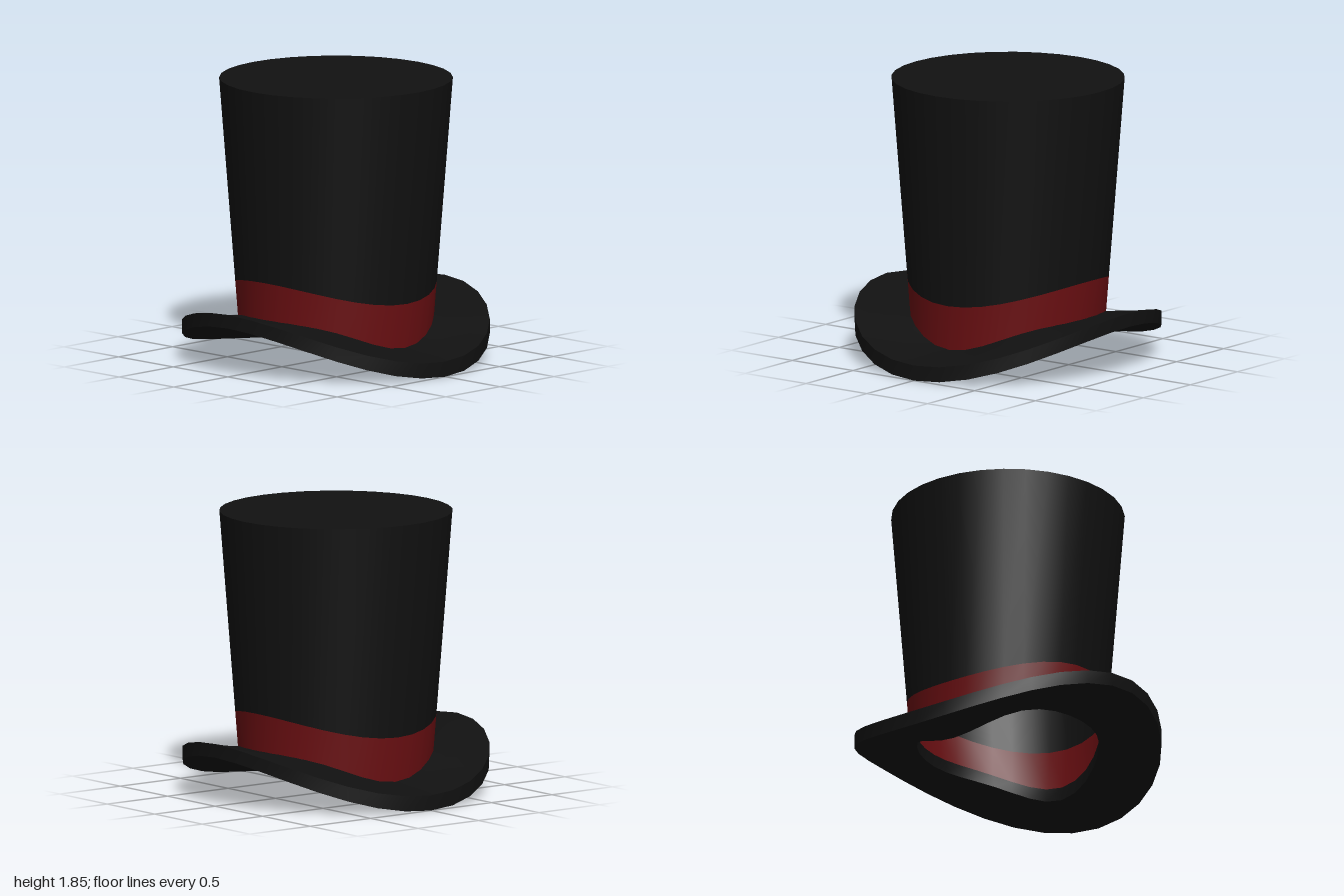
import * as THREE from 'three';

const SEGMENTS = 32;

// A ring maps x/r (-1..1) to a height that drops from `high` to `low` at the sides.
function ring(radius, high, low, power) {
  return (c) => {
    const y = high - (high - low) * Math.pow(Math.abs(c), power);
    return [typeof radius === 'function' ? radius(y) : radius, y];
  };
}

// Blend of two rings, used for the intermediate loops of the brim.
const mixRings = (a, b, t) => (c) => a(c).map((v, i) => v + (b(c)[i] - v) * t);

// Smooth skin over a list of rings.
function skin(rings) {
  const positions = [], index = [];
  rings.forEach((f, j) => {
    for (let i = 0; i < SEGMENTS; i++) {
      const a = (i / SEGMENTS) * Math.PI * 2;
      const [r, y] = f(Math.sin(a));
      positions.push(r * Math.sin(a), y, r * Math.cos(a));
      if (j === rings.length - 1) continue;
      const p = j * SEGMENTS + i, q = j * SEGMENTS + (i + 1) % SEGMENTS;
      index.push(p, q, q + SEGMENTS, p, q + SEGMENTS, p + SEGMENTS);
    }
  });
  const geometry = new THREE.BufferGeometry();
  geometry.setAttribute('position', new THREE.Float32BufferAttribute(positions, 3));
  geometry.setIndex(index);
  geometry.computeVertexNormals();
  return geometry;
}

export function createModel() {
  const hat = new THREE.Group();
  hat.name = 'topHat';
  const felt = new THREE.MeshStandardMaterial({ color: 0x111111, side: THREE.DoubleSide });
  const ribbon = new THREE.MeshStandardMaterial({ color: 0x6b0f12, side: THREE.DoubleSide });
  const add = (name, geometry, material, parent = hat) => {
    const mesh = new THREE.Mesh(geometry, material);
    mesh.name = name;
    parent.add(mesh);
    return mesh;
  };

  // Crown: a hollow wall flaring upward, its lower part covered by the band
  const crownRadius = (y) => 0.616 + 0.078 * y;
  const bandBottom = ring(crownRadius, 0.32, 0.14, 4);
  const bandTop = ring(crownRadius, 0.575, 0.435, 2);
  const crownTop = ring(crownRadius, 1.85, 1.85, 1);
  add('crownWall', skin([bandTop, crownTop]), felt);
  add('band', skin([bandBottom, bandTop]), ribbon);

  const lid = add('crownTop', new THREE.CircleGeometry(crownRadius(1.85), SEGMENTS), felt);
  lid.rotation.x = -Math.PI / 2;
  lid.position.y = 1.85;

  // Brim: a thick ring, curled down at the left and right
  const brim = new THREE.Group();
  brim.name = 'brim';
  hat.add(brim);
  const outerTop = ring(1, 0.41, 0.1, 1.9);
  const outerBottom = ring(1, 0.32, 0, 1.9);
  const innerTop = ring(0.594, 0.315, 0.14, 4.2);
  const innerBottom = ring(0.594, 0.23, 0.05, 4.8);
  const span = (a, b) => [0, 0.25, 0.5, 0.75, 1].map((t) => mixRings(a, b, t));
  add('brimEdge', skin([outerBottom, outerTop]), felt, brim);
  add('brimUpperSide', skin(span(outerTop, innerTop)), felt, brim);
  add('brimOpening', skin([innerTop, innerBottom]), felt, brim);
  add('brimUnderside', skin(span(innerBottom, outerBottom)), felt, brim);

  return hat;
}
